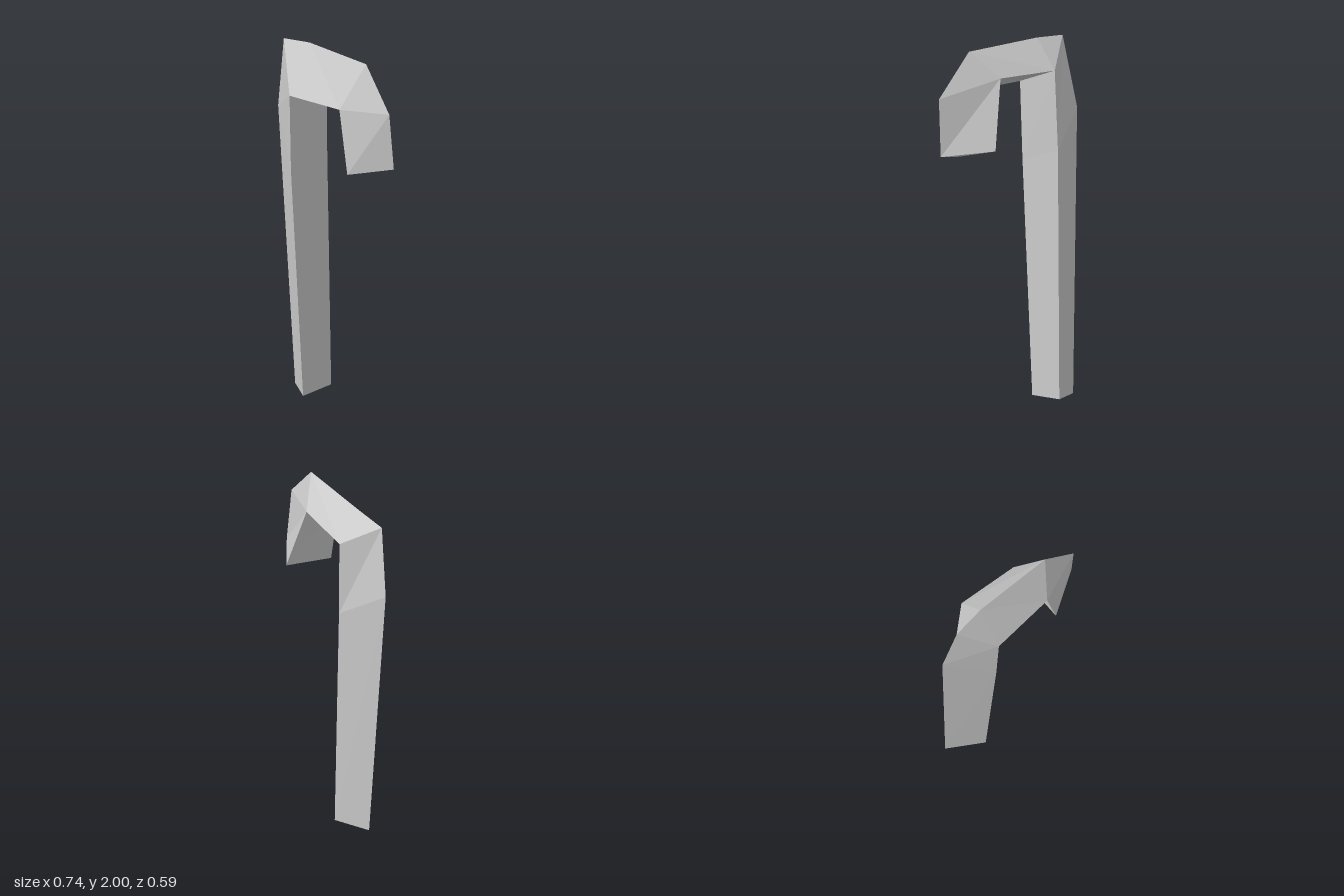
import * as THREE from 'three';

// Triangular cross-sections from foot to hook tip: [outer, front, back] corners
const rings = [
  [[-0.275, 0.005, -0.293], [-0.195, 0, -0.085], [-0.073, 0.015, -0.27]],   // foot
  [[-0.368, 1.58, -0.29], [-0.25, 1.3, -0.015], [-0.093, 1.39, -0.257]],    // top of shaft
  [[-0.325, 1.985, -0.22], [-0.255, 1.73, 0], [-0.09, 1.84, -0.24]],        // first bend
  [[-0.165, 2, -0.12], [-0.255, 1.73, 0], [-0.09, 1.84, -0.24]],
  [[0.195, 1.985, 0.165], [0.055, 1.73, 0.205], [0.168, 1.84, -0.005]],     // second bend
  [[0.345, 1.745, 0.293], [0.055, 1.73, 0.205], [0.168, 1.84, -0.005]],
  [[0.367, 1.43, 0.277], [0.105, 1.375, 0.243], [0.282, 1.46, -0.008]],     // hook tip
];

// Skins consecutive sections, leaving out triangles that collapse at a shared corner
function skin(sections) {
  const positions = [];
  const same = (p, q) => p.every((v, i) => v === q[i]);
  const tri = (a, b, c) => {
    if (!same(a, b) && !same(b, c) && !same(a, c)) positions.push(...a, ...b, ...c);
  };
  for (let r = 0; r < sections.length - 1; r++) {
    const lower = sections[r], upper = sections[r + 1];
    for (let i = 0; i < 3; i++) {
      const j = (i + 1) % 3;
      tri(lower[i], lower[j], upper[j]);
      tri(lower[i], upper[j], upper[i]);
    }
  }
  // End caps
  const first = sections[0], last = sections[sections.length - 1];
  tri(first[0], first[2], first[1]);
  tri(last[0], last[1], last[2]);

  const geometry = new THREE.BufferGeometry();
  geometry.setAttribute('position', new THREE.Float32BufferAttribute(positions, 3));
  geometry.computeVertexNormals();
  return geometry;
}

export function createModel() {
  const group = new THREE.Group();
  group.name = 'hookedCane';
  const material = new THREE.MeshStandardMaterial({ color: 0xcccccc, flatShading: true });
  const cane = new THREE.Mesh(skin(rings), material);
  cane.name = 'cane';
  group.add(cane);
  return group;
}
